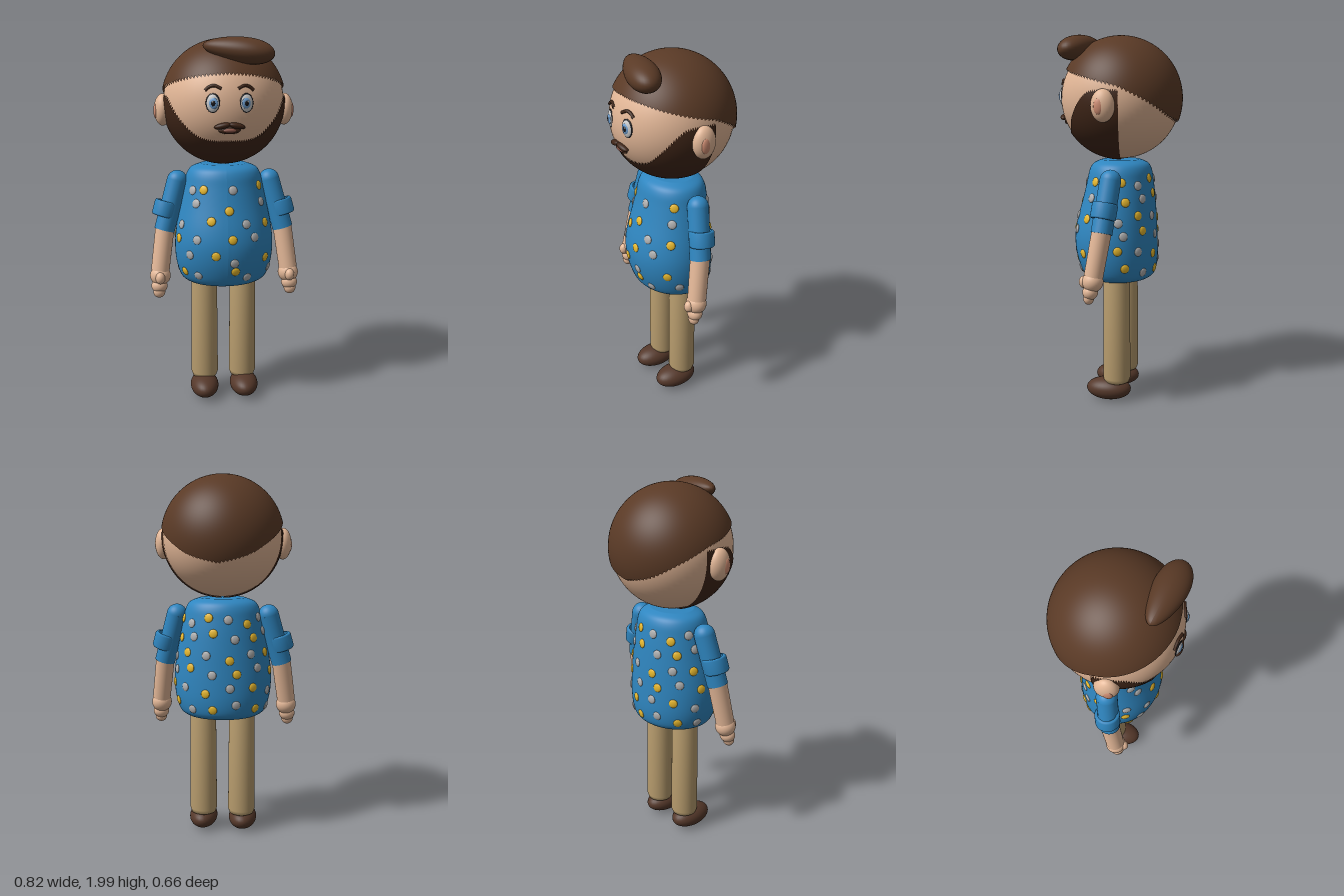
import * as THREE from 'three';

const mat = (color) => new THREE.MeshStandardMaterial({ color, side: THREE.DoubleSide });
const skin = mat(0xe3b797), hairBrown = mat(0x5a3a26), beardBrown = mat(0x402618), blue = mat(0x2f86c0);
const tan = mat(0xb59a6c), shoeBrown = mat(0x55382a), yellow = mat(0xe8b92e), grey = mat(0xb0b0b0);
const white = mat(0xf2f2f2), iris = mat(0x6f9fd0), black = mat(0x15151a), pink = mat(0xd18f74), lip = mat(0x8a5548);
const HEAD_Y = 1.66, HEAD_R = 0.32;
const V = (x, y, z) => new THREE.Vector3(x, y, z);

function add(parent, name, geometry, material, pos = [0, 0, 0], rot = [0, 0, 0]) {
  const mesh = new THREE.Mesh(geometry, material);
  mesh.name = name;
  mesh.position.set(...pos);
  mesh.rotation.set(...rot);
  parent.add(mesh);
  return mesh;
}

const ellipsoid = (rx, ry, rz, seg = 32) => new THREE.SphereGeometry(1, seg, seg * 0.75).scale(rx, ry, rz);

// Smooth function through [input, value] pairs
function smoothTable(pairs) {
  const pts = new THREE.SplineCurve(pairs.map((p) => new THREE.Vector2(...p))).getPoints(80);
  return (t) => {
    const i = Math.min(Math.max(pts.findIndex((p) => p.x >= t), 1), pts.length - 1);
    const a = pts[i - 1], b = pts[i];
    const k = THREE.MathUtils.clamp((t - a.x) / (b.x - a.x || 1), 0, 1);
    return a.y + (b.y - a.y) * k;
  };
}

// Shell on the head: azimuth spans -span..span from the front, edge height depends on azimuth
function shell(span, radius, edgeY, upper) {
  const g = new THREE.SphereGeometry(1, 96, 32, Math.PI / 2 - span, span * 2);
  const pos = g.attributes.position, uv = g.attributes.uv;
  for (let i = 0; i < pos.count; i++) {
    const u = uv.getX(i), v = 1 - uv.getY(i);
    const az = (u * 2 - 1) * span;
    const edge = Math.acos((edgeY(Math.abs(az)) - HEAD_Y) / radius);
    const theta = upper ? v * edge : edge + v * (Math.PI - edge);
    const onRim = (upper ? v > 0.999 : v < 0.001) || (span < 3 && (u < 0.001 || u > 0.999));
    const r = onRim ? HEAD_R - 0.003 : radius;
    const n = V(Math.sin(az) * Math.sin(theta), Math.cos(theta), Math.cos(az) * Math.sin(theta));
    pos.setXYZ(i, n.x * r, n.y * r, n.z * r);
    g.attributes.normal.setXYZ(i, n.x, n.y, n.z);
  }
  return g;
}

// Torso half width by height, and its oval cross-section
const torsoPairs = [[0.68, 0.17], [0.69, 0.205], [0.72, 0.238], [0.8, 0.262], [0.9, 0.269], [1.0, 0.259],
  [1.12, 0.235], [1.22, 0.214], [1.28, 0.2], [1.315, 0.175], [1.335, 0.125]];
const torsoR = smoothTable(torsoPairs);
const bellyZ = (y) => 0.025 * Math.exp(-(((y - 0.92) / 0.2) ** 2));
const torsoPoint = (az, y) => V(Math.sin(az) * torsoR(y), y, Math.cos(az) * torsoR(y) * 0.84 + bellyZ(y));

function buildTorso(root) {
  const profile = [new THREE.Vector2(0, 0.68)];
  new THREE.SplineCurve(torsoPairs.map(([y, r]) => new THREE.Vector2(r, y))).getPoints(50).forEach((p) => profile.push(p));
  profile.push(new THREE.Vector2(0, 1.335));
  const g = new THREE.LatheGeometry(profile, 64);
  const pos = g.attributes.position;
  for (let i = 0; i < pos.count; i++) pos.setZ(i, pos.getZ(i) * 0.84 + bellyZ(pos.getY(i)));
  g.computeVertexNormals();
  add(root, 'shirt', g, blue);

  // Shirt dots: front ones by x and height (1 = yellow), then rows round the sides and back
  const dots = new THREE.Group();
  dots.name = 'shirtDots';
  root.add(dots);
  const geo = ellipsoid(0.024, 0.024, 0.008, 14);
  const dot = (az, y, isYellow) => {
    const p = torsoPoint(az, y);
    const out = torsoPoint(az, y + 0.01).sub(torsoPoint(az, y - 0.01));
    const around = torsoPoint(az + 0.02, y).sub(torsoPoint(az - 0.02, y));
    const m = add(dots, 'dot', geo, isYellow ? yellow : grey, p.toArray());
    m.lookAt(p.clone().add(out.cross(around).negate().normalize().multiplyScalar(-1)));
  };
  const front = [[-0.175, 1.205, 0], [-0.12, 1.213, 1], [0.032, 1.213, 0], [0.18, 1.225, 1],
    [-0.16, 1.14, 0], [0.01, 1.108, 1], [0.19, 1.14, 0], [-0.085, 1.055, 1], [0.1, 1.037, 0], [0.21, 1.03, 1],
    [-0.235, 1.02, 0], [-0.16, 0.955, 0], [0.025, 0.96, 1], [0.145, 0.965, 0], [-0.25, 0.945, 1],
    [-0.197, 0.868, 0], [-0.063, 0.873, 1], [0.035, 0.832, 0], [0.21, 0.842, 1], [0.042, 0.783, 1],
    [-0.22, 0.763, 1], [-0.153, 0.752, 0], [0.107, 0.742, 0], [0.235, 0.77, 0]];
  front.forEach(([x, y, c]) => dot(Math.asin(THREE.MathUtils.clamp(x / torsoR(y), -0.99, 0.99)), y, c));
  [1.225, 1.14, 1.035, 0.95, 0.855, 0.755].forEach((y, row) => {
    for (let k = 0; k < 6; k++) {
      dot(1.85 + k * 0.5 + (row % 2) * 0.14, y - 0.02 * Math.sin(k * 2 + row), (k + (row >> 1)) % 2 === 0);
    }
  });
}

function buildHead(root) {
  const head = new THREE.Group();
  head.name = 'head';
  head.position.y = HEAD_Y;
  root.add(head);
  add(head, 'skull', ellipsoid(HEAD_R, HEAD_R, HEAD_R, 64), skin);

  const hairline = smoothTable([[0, 1.812], [0.5, 1.8], [1, 1.77], [1.57, 1.725], [1.75, 1.708], [2.2, 1.635], [2.65, 1.56], [3.15, 1.52]]);
  add(head, 'hair', shell(Math.PI, 0.332, hairline, true), hairBrown);
  const beardLine = smoothTable([[0, 1.485], [0.35, 1.487], [0.62, 1.515], [0.87, 1.59], [1.1, 1.67], [1.3, 1.707], [1.8, 1.71]]);
  add(head, 'beard', shell(1.75, 0.327, beardLine, false), beardBrown);

  // Quiff, fuller towards one end
  const quiff = new THREE.SphereGeometry(1, 40, 28);
  const p = quiff.attributes.position;
  for (let i = 0; i < p.count; i++) {
    const k = 1 + 0.22 * p.getX(i);
    p.setXYZ(i, p.getX(i) * 0.183, p.getY(i) * 0.064 * k, p.getZ(i) * 0.08 * k);
  }
  quiff.computeVertexNormals();
  add(head, 'quiff', quiff, hairBrown, [0.055, 0.27, 0.21], [0.1, -0.25, -0.1]);

  for (const s of [1, -1]) {
    add(head, 'ear', ellipsoid(0.046, 0.084, 0.062), skin, [s * 0.324, -0.036, 0.022]);
    add(head, 'innerEar', ellipsoid(0.012, 0.04, 0.025, 20), pink, [s * 0.361, -0.04, 0.035]);

    // Eye, layered outward from the face
    const eye = new THREE.Group();
    eye.name = 'eye';
    eye.position.set(s * 0.083, 0.013, 0.304);
    eye.rotation.y = s * 0.25;
    head.add(eye);
    add(eye, 'eyeRim', ellipsoid(0.037, 0.049, 0.01, 28), black);
    add(eye, 'eyeWhite', ellipsoid(0.033, 0.045, 0.015, 28), white);
    add(eye, 'iris', ellipsoid(0.023, 0.027, 0.008, 24), iris, [-s * 0.004, 0, 0.01]);
    add(eye, 'pupil', ellipsoid(0.011, 0.014, 0.005, 20), black, [-s * 0.004, 0, 0.0155]);
    add(eye, 'glint', ellipsoid(0.004, 0.005, 0.003, 12), white, [0.002, 0.008, 0.019]);

    const brow = [[0.12, 0.075], [0.1, 0.092], [0.075, 0.098], [0.04, 0.083]].map(([x, y]) =>
      V(s * x, y, Math.sqrt(HEAD_R ** 2 - x * x - y * y) + 0.003));
    add(head, 'eyebrow', new THREE.TubeGeometry(new THREE.CatmullRomCurve3(brow), 20, 0.008, 8), beardBrown);
    add(head, 'moustache', ellipsoid(0.043, 0.015, 0.02), beardBrown, [s * 0.036, -0.098, 0.309], [0, s * 0.13, -s * 0.2]);
  }
  add(head, 'mouth', ellipsoid(0.055, 0.018, 0.014), beardBrown, [0, -0.122, 0.296]);
  add(head, 'lips', ellipsoid(0.036, 0.011, 0.014, 20), lip, [0, -0.122, 0.301]);
}

// Round limb section between two points
function limb(parent, name, a, b, ra, rb, material) {
  const m = add(parent, name, new THREE.CylinderGeometry(rb, ra, a.distanceTo(b), 32), material,
    a.clone().add(b).multiplyScalar(0.5).toArray());
  m.quaternion.setFromUnitVectors(V(0, 1, 0), b.clone().sub(a).normalize());
  return m;
}

function buildArm(root, s) {
  const arm = new THREE.Group();
  arm.name = s > 0 ? 'leftArm' : 'rightArm';
  root.add(arm);
  const shoulder = V(s * 0.252, 1.242, 0), sleeveEnd = V(s * 0.326, 0.975, 0.03), wrist = V(s * 0.354, 0.755, 0.066);
  add(arm, 'shoulder', ellipsoid(0.056, 0.056, 0.056), blue, shoulder.toArray());
  limb(arm, 'sleeve', shoulder, sleeveEnd, 0.056, 0.056, blue);

  // Rolled cuff
  const cuff = [[0.05, -0.042], [0.061, -0.042], [0.067, -0.034], [0.067, 0.034], [0.061, 0.042], [0.05, 0.042]];
  const roll = add(arm, 'cuff', new THREE.LatheGeometry(cuff.map((c) => new THREE.Vector2(...c)), 32), blue, [s * 0.318, 1.09, 0.018]);
  roll.quaternion.setFromUnitVectors(V(0, 1, 0), shoulder.clone().sub(sleeveEnd).normalize());

  limb(arm, 'forearm', V(s * 0.322, 1.0, 0.027), wrist, 0.052, 0.05, skin);
  add(arm, 'palm', ellipsoid(0.056, 0.055, 0.055), skin, [s * 0.354, 0.728, 0.07]);
  add(arm, 'fingers', ellipsoid(0.044, 0.04, 0.04), skin, [s * 0.36, 0.673, 0.082]);
  add(arm, 'fingertips', ellipsoid(0.033, 0.034, 0.028), skin, [s * 0.362, 0.642, 0.09]);
  add(arm, 'thumb', ellipsoid(0.026, 0.033, 0.028), skin, [s * 0.355, 0.725, 0.115]);
}

function buildLeg(root, s) {
  const profile = [[0, 0.095], [0.05, 0.097], [0.068, 0.107], [0.076, 0.13], [0.071, 0.74], [0, 0.74]];
  add(root, s > 0 ? 'leftTrouserLeg' : 'rightTrouserLeg',
    new THREE.LatheGeometry(profile.map((c) => new THREE.Vector2(...c)), 40), tan, [s * 0.108, 0, 0]);
  add(root, s > 0 ? 'leftShoe' : 'rightShoe', ellipsoid(0.079, 0.062, 0.125), shoeBrown, [s * 0.113, 0.062, 0.045]);
}

export function createModel() {
  const root = new THREE.Group();
  root.name = 'beardedMan';
  buildHead(root);
  buildTorso(root);
  for (const s of [1, -1]) {
    buildArm(root, s);
    buildLeg(root, s);
  }
  return root;
}
